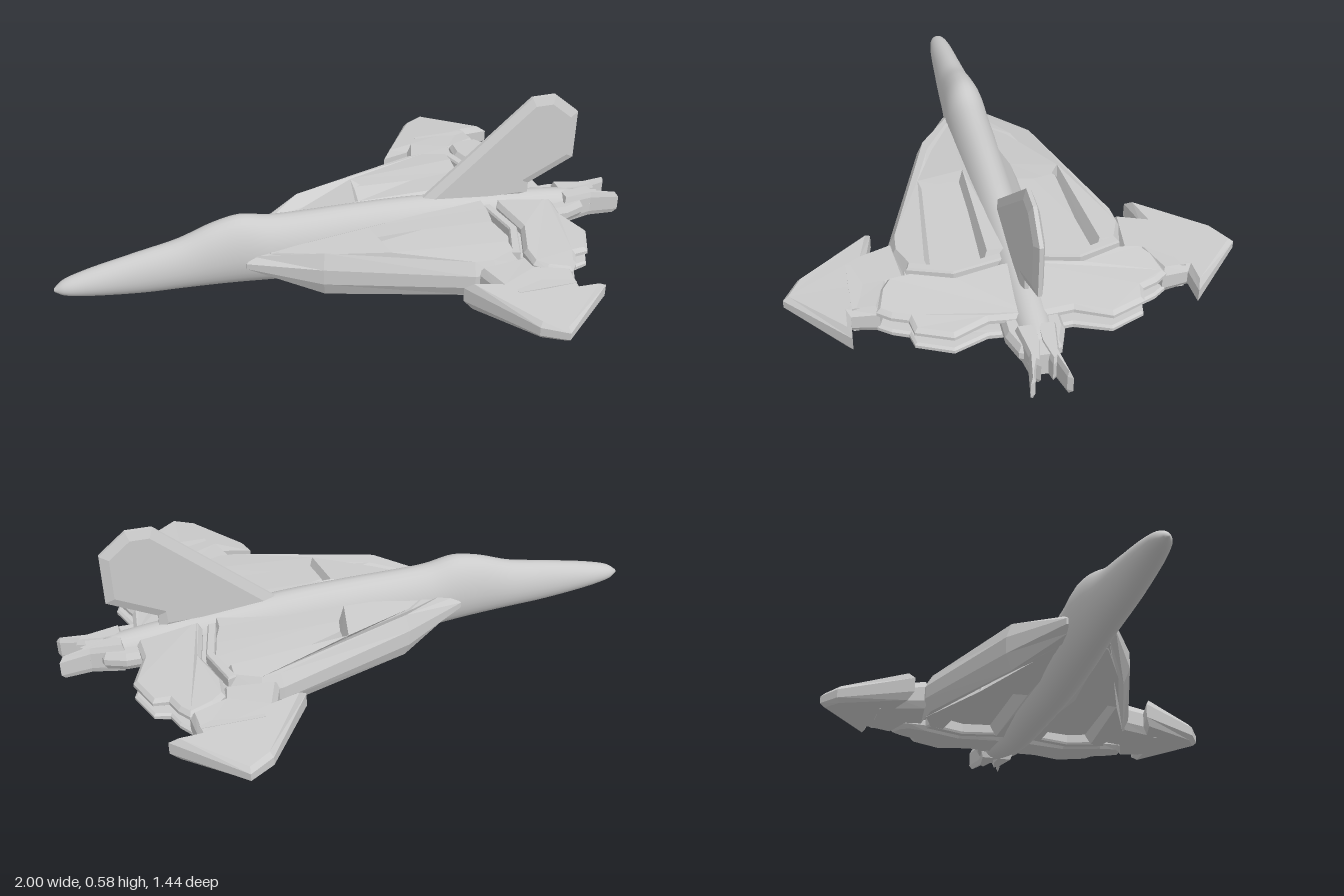
import * as THREE from 'three';

const material = new THREE.MeshStandardMaterial({ color: 0xcccccc, side: THREE.DoubleSide });
const MID = 0.13; // height of the wing plane
const { clamp, lerp } = THREE.MathUtils;

// Move an outline inward by d, with limited mitres.
function inset(points, d) {
  const n = points.length;
  return points.map((p, i) => {
    const a = p.clone().sub(points[(i + n - 1) % n]).normalize();
    const b = points[(i + 1) % n].clone().sub(p).normalize();
    const normal = new THREE.Vector2(-a.y - b.y, a.x + b.x);
    const len = Math.max(normal.length(), 0.8);
    return p.clone().addScaledVector(normal, (2 * d) / (len * len));
  });
}

// Bevelled slab: outline in x,z; each level is [fraction of half thickness, inset].
function slab(name, outline, half, levels, side = 1) {
  let pts = outline.map(([x, z]) => new THREE.Vector2(x, z * side));
  if (THREE.ShapeUtils.isClockWise(pts)) pts.reverse();
  const rings = levels.map(([h, d]) =>
    inset(pts, d).map((p) => [p.x, h * half(p.x, Math.abs(p.y)), p.y]));
  const pos = [];
  const tri = (a, b, c) => pos.push(...a, ...b, ...c);
  const n = pts.length;
  for (let r = 0; r < rings.length - 1; r++) {
    for (let i = 0; i < n; i++) {
      const j = (i + 1) % n, a = rings[r], b = rings[r + 1];
      tri(a[i], b[j], a[j]);
      tri(a[i], b[i], b[j]);
    }
  }
  const low = rings[0], high = rings[rings.length - 1];
  for (const [a, b, c] of THREE.ShapeUtils.triangulateShape(pts, [])) {
    tri(low[a], low[b], low[c]);
    tri(high[a], high[c], high[b]);
  }
  const geo = new THREE.BufferGeometry();
  geo.setAttribute('position', new THREE.Float32BufferAttribute(pos, 3));
  geo.computeVertexNormals();
  const mesh = new THREE.Mesh(geo, material);
  mesh.name = name;
  return mesh;
}

// Smooth body lofted through sections [x, bottom, top, half width].
function fuselage() {
  const sections = [
    [-1, 0.1, 0.112, 0.006], [-0.97, 0.085, 0.135, 0.026], [-0.9, 0.07, 0.158, 0.04],
    [-0.72, 0.047, 0.197, 0.053], [-0.58, 0.04, 0.225, 0.062], [-0.46, 0.032, 0.268, 0.069],
    [-0.37, 0.025, 0.284, 0.075], [-0.27, 0.016, 0.264, 0.078], [-0.15, 0.006, 0.258, 0.08],
    [0, 0, 0.256, 0.08], [0.25, 0.005, 0.246, 0.078], [0.5, 0.014, 0.22, 0.07],
    [0.7, 0.052, 0.2, 0.062], [0.85, 0.088, 0.178, 0.048],
  ];
  const lower = new THREE.CatmullRomCurve3(sections.map(([x, b, , w]) => new THREE.Vector3(x, b, w)));
  const upper = new THREE.CatmullRomCurve3(sections.map(([x, , t]) => new THREE.Vector3(x, t, 0)));
  const rows = 65, sides = 28, pos = [], index = [];
  for (let r = 0; r <= rows; r++) {
    const b = lower.getPoint(r / rows), t = upper.getPoint(r / rows).y;
    const mid = lerp(b.y, t, 0.48);
    for (let s = 0; s < sides; s++) {
      const a = (s / sides) * Math.PI * 2, sin = Math.sin(a);
      pos.push(b.x, mid + sin * (sin > 0 ? t - mid : mid - b.y), b.z * Math.cos(a));
      if (r < rows) {
        const i = r * sides + s, j = r * sides + ((s + 1) % sides);
        index.push(i, i + sides, j, j, i + sides, j + sides);
      }
    }
  }
  for (const r of [0, rows]) {
    for (let s = 1; s < sides - 1; s++) {
      const o = r * sides;
      index.push(o, o + s + (r ? 1 : 0), o + s + (r ? 0 : 1));
    }
  }
  const geo = new THREE.BufferGeometry();
  geo.setAttribute('position', new THREE.Float32BufferAttribute(pos, 3));
  geo.setIndex(index);
  geo.computeVertexNormals();
  const mesh = new THREE.Mesh(geo, material);
  mesh.name = 'fuselage';
  return mesh;
}

// Outlines of one side, as [x, z]
const rim = [
  [-0.38, 0], [-0.37, 0.08], [-0.14, 0.21], [0.33, 0.375], [0.4, 0.38], [0.5, 0.34], [0.5, 0.26],
  [0.1, 0.22], [0.08, 0.105], [0.5, 0.105], [0.5, 0],
];
const core = [[-0.3, 0], [-0.3, 0.09], [-0.12, 0.19], [0.33, 0.35], [0.6, 0.36], [0.64, 0.2], [0.62, 0]];
const seam = [
  [0.48, 0.04], [0.515, 0.2], [0.47, 0.33], [0.5, 0.34], [0.545, 0.2], [0.51, 0.04],
];
const flap = [
  [0.53, 0], [0.53, 0.05], [0.56, 0.2], [0.515, 0.33], [0.52, 0.4], [0.56, 0.43], [0.64, 0.45],
  [0.67, 0.41], [0.69, 0.36], [0.74, 0.35], [0.785, 0.24], [0.74, 0.13], [0.75, 0],
];
const tip = [
  [0.34, 0.36], [0.37, 0.45], [0.27, 0.425], [0.43, 0.67], [0.51, 0.72], [0.72, 0.53],
  [0.63, 0.525], [0.64, 0.44], [0.53, 0.4], [0.52, 0.34],
];
const shoulder = [[0.6, 0], [0.68, 0.09], [0.79, 0.09], [0.86, 0.065], [0.88, 0]];
const petal = [
  [0.79, 0], [0.79, 0.062], [0.9, 0.045], [1, 0.062], [0.99, 0.046], [0.93, 0.03], [0.94, 0.018], [0.86, 0],
];

// Half thicknesses
const wingHalf = (x, z) => (0.082 - Math.max(0, z - 0.2) * 0.1) * clamp((x + 0.42) / 0.2, 0.35, 1);
const flapHalf = (x, z) => lerp(0.077, 0.042, clamp((x - 0.52) / 0.26, 0, 1)) - Math.max(0, z - 0.25) * 0.07;
const tipHalf = (x, z) => lerp(0.05, 0.026, clamp((z - 0.45) / 0.27, 0, 1));
const bevel = (d, band = 0.35) => [[-1, d], [-band, 0], [band, 0], [1, d]];

function wing(side) {
  const group = new THREE.Group();
  group.name = side > 0 ? 'leftWing' : 'rightWing';
  group.position.y = MID;
  const add = (...args) => group.add(slab(...args, side));
  add('wingCore', core, (x, z) => 0.72 * wingHalf(x, z) - Math.max(0, x - 0.45) * 0.15, bevel(0.012));
  add('wingPanel', rim, wingHalf, bevel(0.022));
  add('wingSeam', seam, () => 0.07, [[-1, 0.004], [-0.9, 0], [0.9, 0], [1, 0.004]]);
  add('upperFlap', flap, flapHalf, [[0.35, 0.008], [0.5, 0], [0.75, 0], [1, 0.012]]);
  add('lowerFlap', flap, flapHalf, [[-1, 0.012], [-0.75, 0], [-0.5, 0], [-0.35, 0.008]]);
  add('wingTip', tip, tipHalf, bevel(0.014, 0.5));
  // Hinge block between flap and tip
  const hinge = new THREE.Mesh(new THREE.BoxGeometry(0.2, 0.09, 0.06), material);
  hinge.name = 'tipHinge';
  hinge.position.set(0.52, 0, side * 0.49);
  group.add(hinge);
  add('tailShoulder', shoulder, () => 0.032, bevel(0.012));
  add('nozzlePetal', petal, (x) => lerp(0.054, 0.042, clamp((x - 0.8) / 0.2, 0, 1)), bevel(0.006, 0.6));
  return group;
}

export function createModel() {
  const model = new THREE.Group();
  model.name = 'jet';
  model.add(fuselage(), wing(1), wing(-1));

  // Hexagonal exhaust
  const nozzle = new THREE.Mesh(
    new THREE.CylinderGeometry(0.045, 0.056, 0.16, 6).toNonIndexed(), material);
  nozzle.geometry.computeVertexNormals();
  nozzle.name = 'nozzle';
  nozzle.rotation.z = -Math.PI / 2;
  nozzle.position.set(0.83, MID + 0.003, 0);
  model.add(nozzle);

  // Upright tail fin, drawn flat and stood up
  const fin = slab('tailFin', [
    [0.24, 0.21], [0.27, 0.24], [0.655, 0.577], [0.74, 0.577], [0.83, 0.5], [0.828, 0.32], [0.665, 0.24], [0.665, 0.18],
  ], () => 0.017, bevel(0.03, 0.35));
  fin.rotation.x = -Math.PI / 2;
  model.add(fin);
  return model;
}
